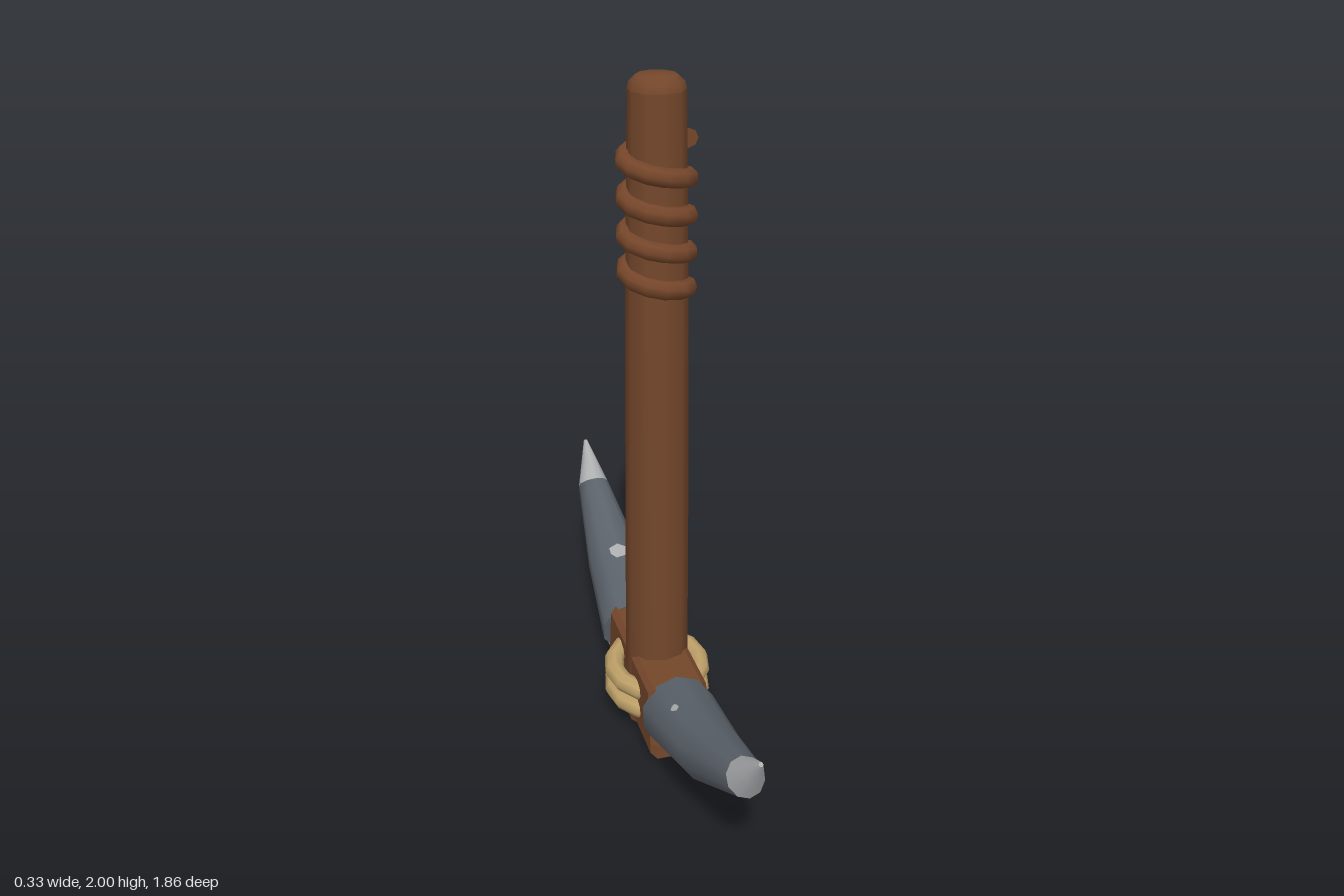
import * as THREE from 'three';

const mat = (name, color, side = THREE.FrontSide) => {
  const m = new THREE.MeshStandardMaterial({ color, side });
  m.name = name;
  return m;
};

// Spike stations: top edge [z, y], bottom edge [z, y], half width
const STATIONS = [
  { top: [0.21, 0.27], bot: [0.263, 0.05], w: 0.114 },
  { top: [0.5, 0.332], bot: [0.56, 0.16], w: 0.09 },
  { top: [0.785, 0.425], bot: [0.858, 0.345], w: 0.052 },
  { top: [0.922, 0.512], bot: [0.932, 0.504], w: 0.006 },
];
const SIDES = 10;

// Point on the spike: u runs along the stations, a around the section
function spikePoint(u, a, off = 0) {
  const i = Math.min(Math.floor(u), STATIONS.length - 2);
  const f = u - i, A = STATIONS[i], B = STATIONS[i + 1];
  const mix = (p, q) => p + (q - p) * f;
  const tz = mix(A.top[0], B.top[0]), ty = mix(A.top[1], B.top[1]);
  const bz = mix(A.bot[0], B.bot[0]), by = mix(A.bot[1], B.bot[1]);
  const hz = (tz - bz) / 2, hy = (ty - by) / 2;
  const k = 1 + off / Math.hypot(hz, hy);
  return [
    (mix(A.w, B.w) + off) * Math.cos(a),
    (ty + by) / 2 + hy * k * Math.sin(a),
    (tz + bz) / 2 + hz * k * Math.sin(a),
  ];
}

function indexed(pos, idx) {
  const g = new THREE.BufferGeometry();
  g.setAttribute('position', new THREE.Float32BufferAttribute(pos, 3));
  g.setIndex(idx);
  g.computeVertexNormals();
  return g;
}

// Closed loft through the given values of u
function spikeLoft(us) {
  const pos = [], idx = [];
  for (const u of us)
    for (let j = 0; j < SIDES; j++) pos.push(...spikePoint(u, (j / SIDES) * Math.PI * 2 + Math.PI / 2));
  for (let i = 0; i < us.length - 1; i++)
    for (let j = 0; j < SIDES; j++) {
      const n = (j + 1) % SIDES;
      const a = i * SIDES + j, b = i * SIDES + n, c = b + SIDES, d = a + SIDES;
      idx.push(a, b, c, a, c, d);
    }
  // End caps with their own vertices so the rims stay sharp
  [[us[0], true], [us[us.length - 1], false]].forEach(([u, start]) => {
    const base = pos.length / 3;
    for (let j = 0; j < SIDES; j++) pos.push(...spikePoint(u, (j / SIDES) * Math.PI * 2 + Math.PI / 2));
    for (let j = 1; j < SIDES - 1; j++)
      idx.push(base, ...(start ? [base + j + 1, base + j] : [base + j, base + j + 1]));
  });
  return indexed(pos, idx);
}

// Thin worn patch that follows the spike surface
function chip(u, a, du, da) {
  const pos = [...spikePoint(u, a, 0.004)], idx = [], n = 7;
  for (let k = 0; k < n; k++) {
    const t = (k / n) * Math.PI * 2, r = k % 2 ? 0.85 : 1.05;
    pos.push(...spikePoint(Math.max(0.01, u + du * r * Math.cos(t)), a + da * r * Math.sin(t), 0.003));
    idx.push(0, 1 + k, 1 + ((k + 1) % n));
  }
  return indexed(pos, idx);
}

export function createModel() {
  const wood = mat('brown wood', 0x74472b);
  const cord = mat('brown leather cord', 0x75462a);
  const rope = mat('tan rope', 0xbd9f68);
  const steel = mat('dark steel', 0x5c636b);
  const bright = mat('worn bright steel', 0xacaeb0, THREE.DoubleSide);

  const model = new THREE.Group();
  model.name = 'pickaxe';
  const add = (parent, name, geometry, material) => {
    const m = new THREE.Mesh(geometry, material);
    m.name = name;
    parent.add(m);
    return m;
  };

  // Tapered handle: shaft, rounded top and flat caps
  const lathe = (pts) => new THREE.LatheGeometry(pts.map(([r, y]) => new THREE.Vector2(r, y)), SIDES);
  add(model, 'handle', lathe([[0.096, 0], [0.093, 0.7], [0.087, 1.4], [0.078, 1.96]]), wood);
  add(model, 'handleTop', lathe([[0.078, 1.96], [0.073, 1.98], [0.055, 1.997], [0, 2]]), wood);
  const base = add(model, 'handleBase', new THREE.CircleGeometry(0.096, SIDES), wood);
  base.rotation.set(Math.PI / 2, 0, Math.PI / 2);

  // Cord wound four turns around the grip
  const turns = 4, coil = [];
  for (let i = 0; i <= turns * 8; i++) {
    const t = (i / 8) * Math.PI * 2;
    coil.push(new THREE.Vector3(0.087 * Math.cos(t), 1.825 - 0.41 * (i / (turns * 8)), -0.087 * Math.sin(t)));
  }
  const grip = new THREE.Group();
  grip.name = 'gripWrap';
  model.add(grip);
  add(grip, 'gripCord', new THREE.TubeGeometry(new THREE.CatmullRomCurve3(coil), 48, 0.027, 8), cord);
  [coil[0], coil[coil.length - 1]].forEach((p, i) => {
    const end = add(grip, 'cordEnd', new THREE.CircleGeometry(0.027, 8), cord);
    end.position.copy(p);
    end.rotation.y = i ? Math.PI : 0;
  });

  // Bevelled wooden block that holds the spikes
  const s = new THREE.Shape();
  [[-0.245, 0.035], [0.245, 0.035], [0.245, 0.065], [0.22, 0.235], [-0.22, 0.235], [-0.245, 0.065]]
    .forEach(([z, y], i) => (i ? s.lineTo(z, y) : s.moveTo(z, y)));
  const block = new THREE.ExtrudeGeometry(s, {
    depth: 0.144, bevelEnabled: true, bevelSize: 0.015, bevelThickness: 0.018, bevelSegments: 1,
  });
  block.translate(0, 0, -0.072).rotateY(-Math.PI / 2);
  add(model, 'headBlock', block, wood);

  // Two tilted rope loops binding the block
  [0.107, 0.175].forEach((y) => {
    const ring = add(model, 'ropeLoop', new THREE.TorusGeometry(0.135, 0.03, 8, 14).rotateX(Math.PI / 2), rope);
    ring.position.y = y;
    ring.rotation.x = 0.085;
  });

  // Curved spikes with bright tips and worn patches: [u, angle, du, dAngle]
  const spikes = [
    ['frontSpike', 0, [[0.57, 2.15, 0.06, 0.13], [0.5, -0.72, 0.11, 0.32], [0.1, -0.88, 0.11, 0.3]]],
    ['backSpike', Math.PI, [[0.83, Math.PI / 2, 0.11, 0.4], [0.1, -0.88, 0.11, 0.3]]],
  ];
  for (const [name, turn, chips] of spikes) {
    const spike = new THREE.Group();
    spike.name = name;
    spike.rotation.y = turn;
    model.add(spike);
    add(spike, 'spikeBody', spikeLoft([0, 0.5, 1, 1.5, 2]), steel);
    add(spike, 'spikeTip', spikeLoft([2, 2.5, 3]), bright);
    chips.forEach((c) => add(spike, 'wornPatch', chip(...c), bright));
  }
  return model;
}
